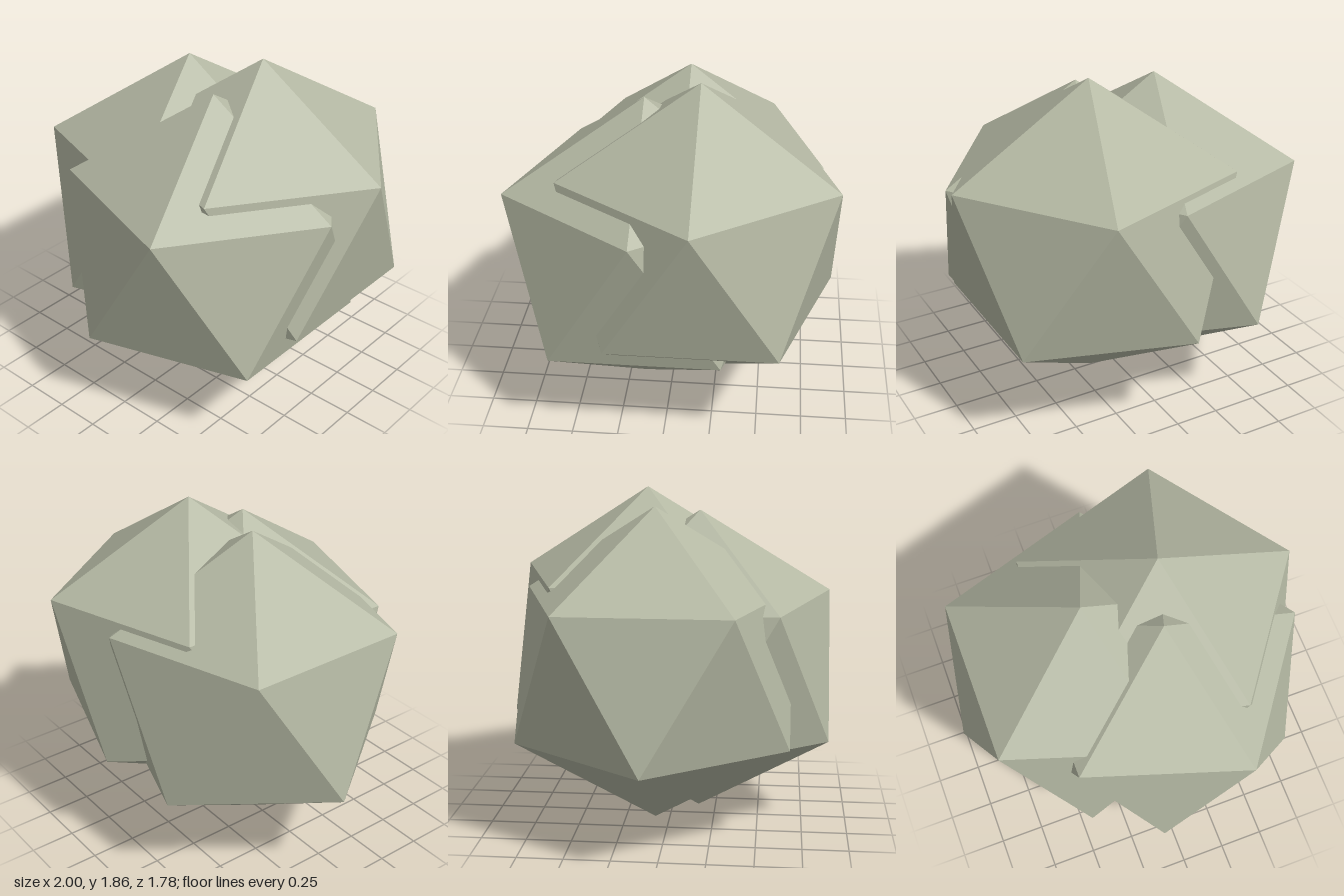
import * as THREE from 'three';

// Cluster of three equal icosahedral crystals that grow through one another.
export function createModel() {
  const group = new THREE.Group();
  group.name = 'crystalCluster';

  const stone = new THREE.MeshStandardMaterial({ color: 0xb4b8a3, flatShading: true });
  stone.name = 'paleGreenStone';

  // Stand the icosahedron on a vertex, with one upper-ring corner towards +x.
  const radius = 0.871;
  const golden = (1 + Math.sqrt(5)) / 2;
  const crystal = new THREE.IcosahedronGeometry(radius, 0);
  crystal.rotateZ(-Math.atan(1 / golden));

  const centres = {
    frontCrystal: [0.14, 0.871, 0.151],
    backRightCrystal: [0.22, 0.992, -0.152],
    leftCrystal: [-0.221, 0.925, -0.067],
  };
  for (const [name, centre] of Object.entries(centres)) {
    const mesh = new THREE.Mesh(crystal, stone);
    mesh.name = name;
    mesh.position.set(...centre);
    group.add(mesh);
  }
  return group;
}
